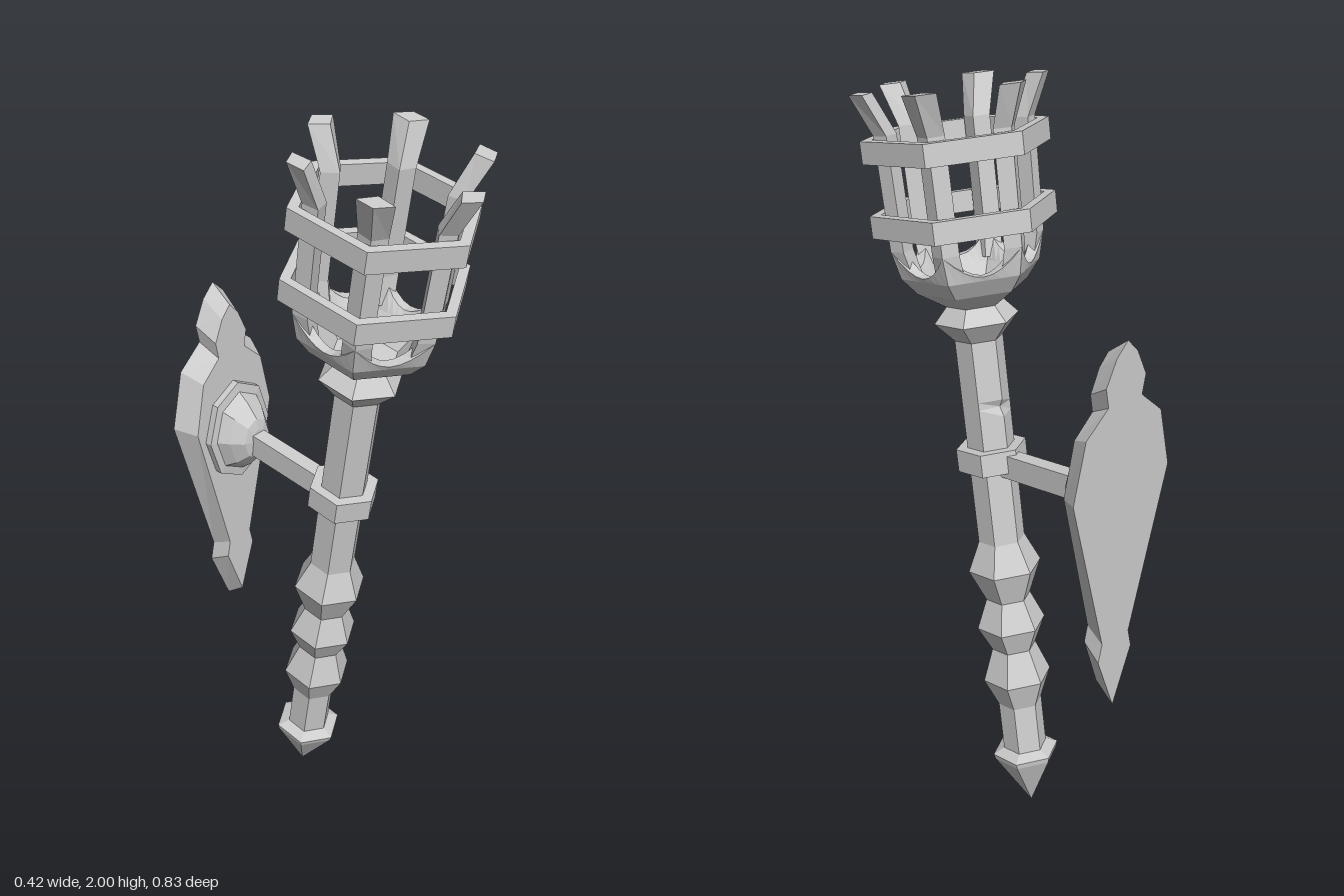
import * as THREE from 'three';

const iron = new THREE.MeshStandardMaterial({ color: 0xcccccc, flatShading: true });
iron.name = 'grey iron';

function add(parent, name, geometry) {
  const mesh = new THREE.Mesh(geometry, iron);
  mesh.name = name;
  parent.add(mesh);
  return mesh;
}

// Six-sided turned part from [radius, height] pairs, one corner facing +z
function turned(profile, sides = 6) {
  return new THREE.LatheGeometry(profile.map(([r, y]) => new THREE.Vector2(r, y)), sides);
}

// Skin over loops of [x, y, z] points, with both ends capped
function loft(loops) {
  const n = loops[0].length;
  const index = [];
  for (let i = 0; i < loops.length - 1; i++) {
    for (let j = 0; j < n; j++) {
      const a = i * n + j, b = i * n + (j + 1) % n;
      index.push(a, b, a + n, b, b + n, a + n);
    }
  }
  const end = (loops.length - 1) * n;
  for (let j = 1; j < n - 1; j++) {
    index.push(0, j + 1, j, end, end + j, end + j + 1);
  }
  const g = new THREE.BufferGeometry();
  g.setAttribute('position', new THREE.Float32BufferAttribute(loops.flat(2), 3));
  g.setIndex(index);
  g.computeVertexNormals();
  return g;
}

// Hexagonal loop split into steps; radius and height depend on the place along each side
function hexLoop(radius, height) {
  const steps = 8, loop = [];
  for (let k = 0; k < 6; k++) {
    const p = k * Math.PI / 3, q = p + Math.PI / 3;
    for (let j = 0; j < steps; j++) {
      const u = j / steps, w = (2 * u - 1) ** 2;
      const r = radius(w);
      loop.push([
        r * (Math.sin(p) * (1 - u) + Math.sin(q) * u),
        height(w),
        r * (Math.cos(p) * (1 - u) + Math.cos(q) * u),
      ]);
    }
  }
  return loop;
}

function buildTorch() {
  const torch = new THREE.Group();
  torch.name = 'torch';

  // Handle with pointed foot, three knobs and a collar
  const handle = turned([
    [0, 0], [0.088, 0.155], [0.092, 0.17], [0.06, 0.185], [0.06, 0.325],
    [0.093, 0.405], [0.06, 0.495], [0.093, 0.565], [0.06, 0.645],
    [0.098, 0.735], [0.062, 0.815], [0.062, 1.165], [0.062, 1.19],
    [0.062, 1.21], [0.062, 1.365], [0.108, 1.415], [0.07, 1.457], [0, 1.457],
  ]);
  // Small nick in the back edge
  const pos = handle.attributes.position;
  for (let i = 0; i < pos.count; i++) {
    if (Math.abs(pos.getY(i) - 1.19) < 0.001 && pos.getZ(i) < -0.05) pos.setZ(i, -0.05);
  }
  add(torch, 'handle', handle);
  add(torch, 'clamp', turned([[0.05, 1.02], [0.092, 1.02], [0.092, 1.08], [0.05, 1.08]]));

  // Bowl with a scalloped rim
  const row = (r, y) => hexLoop(() => r, () => y);
  const rimHeight = (w) => 1.55 + 0.06 * w;
  add(torch, 'bowl', loft([
    row(0.075, 1.455), row(0.14, 1.497), row(0.175, 1.54),
    hexLoop((w) => 0.18 + 0.012 * w, rimHeight),
    hexLoop((w) => 0.15 + 0.01 * w, rimHeight),
    row(0.13, 1.53), row(0.085, 1.475),
  ]));

  // Six cage bars flaring out at the top, from [height, outer radius, half width]
  const bar = loft([
    [1.54, 0.175, 0.036], [1.61, 0.192, 0.034], [1.887, 0.197, 0.034], [1.986, 0.242, 0.042],
  ].map(([y, r, w]) => [[0, y, r], [w, y, r - 0.026], [0, y, r - 0.056], [-w, y, r - 0.026]]));
  for (let k = 0; k < 6; k++) add(torch, 'cageBar', bar).rotation.y = k * Math.PI / 3;

  // Two hoops around the bars
  for (const y of [1.675, 1.852]) {
    add(torch, 'cageHoop', turned([
      [0.203, y - 0.027], [0.231, y - 0.027], [0.231, y + 0.027],
      [0.203, y + 0.027], [0.203, y - 0.027],
    ]));
  }

  torch.position.z = -0.127;
  torch.rotation.x = THREE.MathUtils.degToRad(8.7);
  return torch;
}

function buildBracket() {
  const bracket = new THREE.Group();
  bracket.name = 'wallBracket';

  // Pointed plate, its front face smaller than its back
  const half = [[0.048, 0.69], [0.165, 1.12], [0.128, 1.275], [0.057, 1.335], [0.067, 1.385], [0.035, 1.45]];
  const outline = [[0, 0.485], [0.06, 0.64], ...half, [0, 1.485],
    ...[...half].reverse().map(([x, y]) => [-x, y]), [-0.06, 0.64]];
  const shape = new THREE.Shape(outline.map(([x, y]) => new THREE.Vector2(x, y)));
  const plate = new THREE.ExtrudeGeometry(shape, { depth: 0.059, bevelEnabled: false });
  const pos = plate.attributes.position;
  for (let i = 0; i < pos.count; i++) {
    if (pos.getZ(i) > 0.01) {
      pos.setX(i, pos.getX(i) * 0.82);
      pos.setY(i, 0.985 + (pos.getY(i) - 0.985) * 0.91);
    }
  }
  plate.translate(0, 0, -0.415);
  plate.computeVertexNormals();
  add(bracket, 'wallPlate', plate);

  // Domed boss
  const boss = turned([
    [0.145, 0], [0.145, 0.02], [0.118, 0.023], [0.095, 0.053], [0.06, 0.084], [0.03, 0.09], [0, 0.09],
  ], 8);
  boss.rotateX(Math.PI / 2).scale(0.75, 1, 1).translate(0, 1.075, -0.357);
  add(bracket, 'boss', boss);

  // Arm joining boss and clamp
  const arm = add(bracket, 'arm', new THREE.BoxGeometry(0.042, 0.063, 0.28));
  arm.position.set(0, 1.048, -0.155);
  arm.rotation.x = 0.12;
  return bracket;
}

export function createModel() {
  const model = new THREE.Group();
  model.name = 'wallTorch';
  model.add(buildTorch(), buildBracket());
  return model;
}
